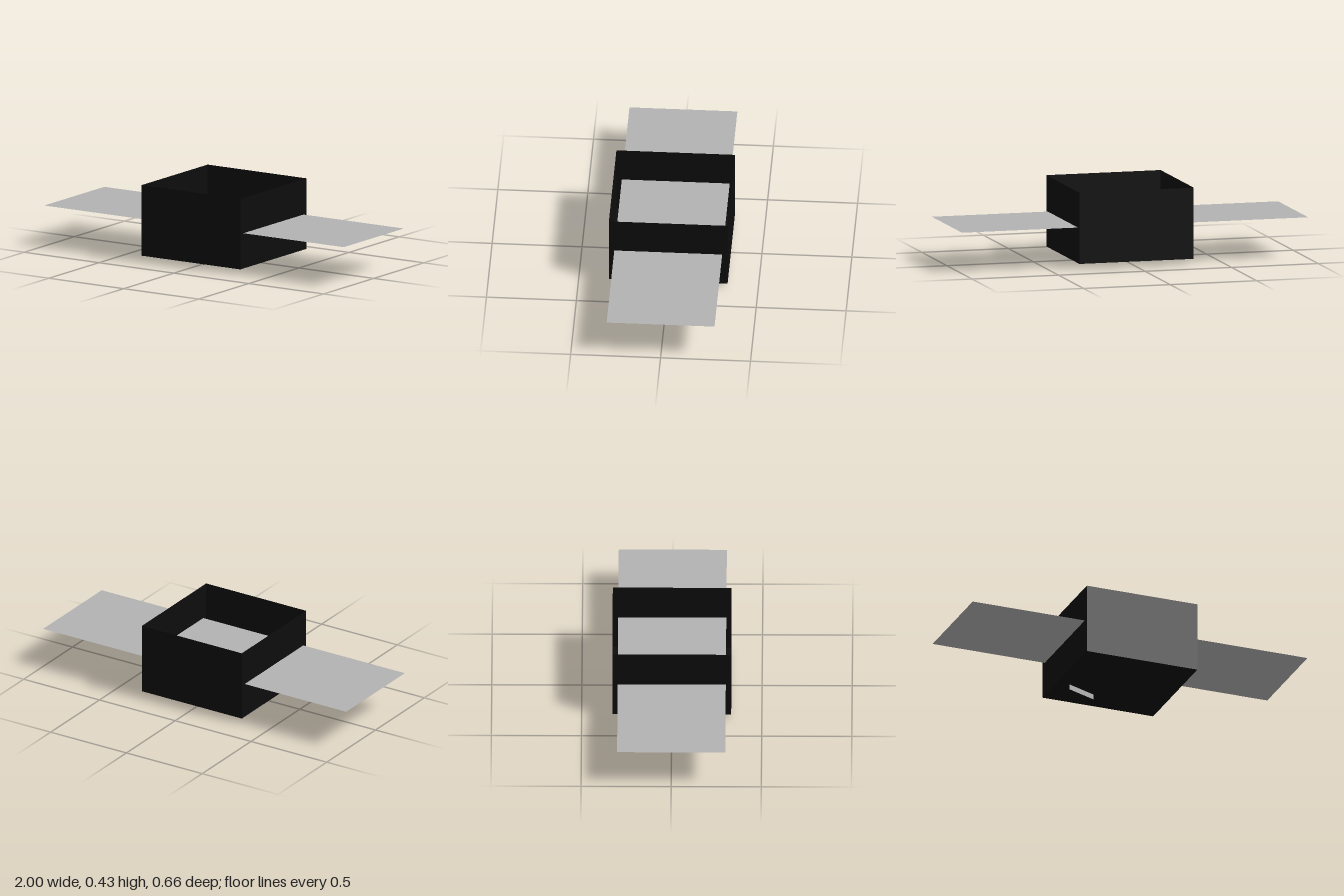
import * as THREE from 'three';

export function createModel() {
  const model = new THREE.Group();
  const black = new THREE.MeshStandardMaterial({ color: 0x0d0d0d, side: THREE.DoubleSide });
  black.name = 'black body';
  const grey = new THREE.MeshStandardMaterial({ color: 0xb2b2b2, side: THREE.DoubleSide });
  grey.name = 'light grey panel';

  const SIDE = 0.66, HEIGHT = 0.4, BASE = 0.03;
  const MID = BASE + HEIGHT / 2;

  function panel(name, w, h, material, parent = model) {
    const mesh = new THREE.Mesh(new THREE.PlaneGeometry(w, h), material);
    mesh.name = name;
    parent.add(mesh);
    return mesh;
  }

  // Open-topped body: four thin walls and a floor
  const body = new THREE.Group();
  body.name = 'body';
  model.add(body);
  ['frontWall', 'leftWall', 'backWall', 'rightWall'].forEach((name, i) => {
    const angle = i * Math.PI / 2;
    const wall = panel(name, SIDE, HEIGHT, black, body);
    wall.rotation.y = angle;
    wall.position.set(Math.sin(angle) * SIDE / 2, MID, Math.cos(angle) * SIDE / 2);
  });
  const floor = panel('floor', SIDE, SIDE, black, body);
  floor.rotation.x = Math.PI / 2;
  floor.position.y = BASE;

  // Long flat panel running through both side walls
  const wing = panel('wingPanel', 2, 0.6, grey);
  wing.rotation.x = -Math.PI / 2;
  wing.position.y = MID;

  // Upright diagonal plate poking out through the floor
  const dx = 0.175, dz = -0.075;
  const plate = panel('lowerPlate', Math.hypot(dx, dz), 0.2, grey);
  plate.rotation.y = Math.atan2(-dz, dx);
  plate.position.set(-0.17, 0.1, -0.15);

  return model;
}
